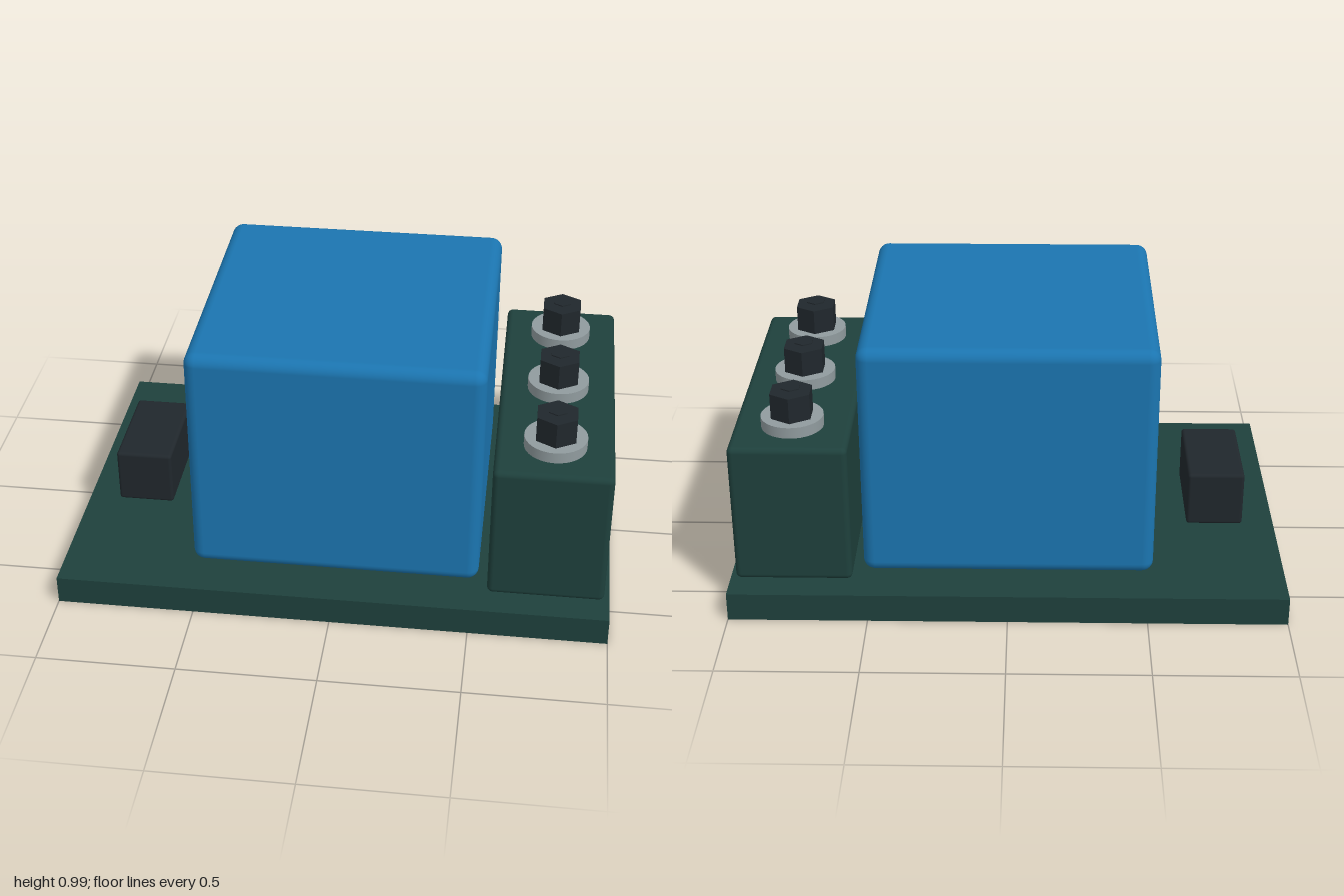
import * as THREE from 'three';
import { RoundedBoxGeometry } from 'three/addons/geometries/RoundedBoxGeometry.js';

const paint = (color, flatShading = false) => new THREE.MeshStandardMaterial({ color, flatShading });

export function createModel() {
  const model = new THREE.Group();
  const green = paint(0x1e403c);
  const blue = paint(0x1b75b0);
  const black = paint(0x20272c);
  const blackFaceted = paint(0x20272c, true);
  const steel = paint(0x909b9e);

  const add = (parent, name, geometry, material, x, y, z) => {
    const mesh = new THREE.Mesh(geometry, material);
    mesh.name = name;
    mesh.position.set(x, y, z);
    parent.add(mesh);
    return mesh;
  };

  // Circuit board
  add(model, 'board', new THREE.BoxGeometry(2, 0.105, 1.365), green, 0, 0.0525, 0);

  // Large rounded housing in the middle
  add(model, 'housing', new RoundedBoxGeometry(1.05, 0.88, 1.05, 4, 0.042), blue, 0, 0.545, 0);

  // Terminal block along the left edge
  add(model, 'terminalBlock', new RoundedBoxGeometry(0.42, 0.53, 1.16, 4, 0.021), green, 0.77, 0.37, 0);

  // Pin header, held slightly above the board
  add(model, 'header', new RoundedBoxGeometry(0.21, 0.21, 0.385, 4, 0.012), black, -0.772, 0.23, 0);

  // Three terminal screws: washer, hex head and a thin cap just above it
  const washer = new THREE.CylinderGeometry(0.112, 0.112, 0.042, 32);
  const head = new THREE.CylinderGeometry(0.081, 0.081, 0.096, 6);
  const cap = new THREE.CylinderGeometry(0.037, 0.037, 0.004, 6);
  for (const z of [-0.386, 0, 0.386]) {
    const screw = new THREE.Group();
    screw.name = 'terminalScrew';
    screw.position.set(0.77, 0, z);
    add(screw, 'washer', washer, steel, 0, 0.655, 0);
    add(screw, 'hexHead', head, blackFaceted, 0, 0.724, 0);
    add(screw, 'hexCap', cap, blackFaceted, 0, 0.783, 0);
    model.add(screw);
  }
  return model;
}
